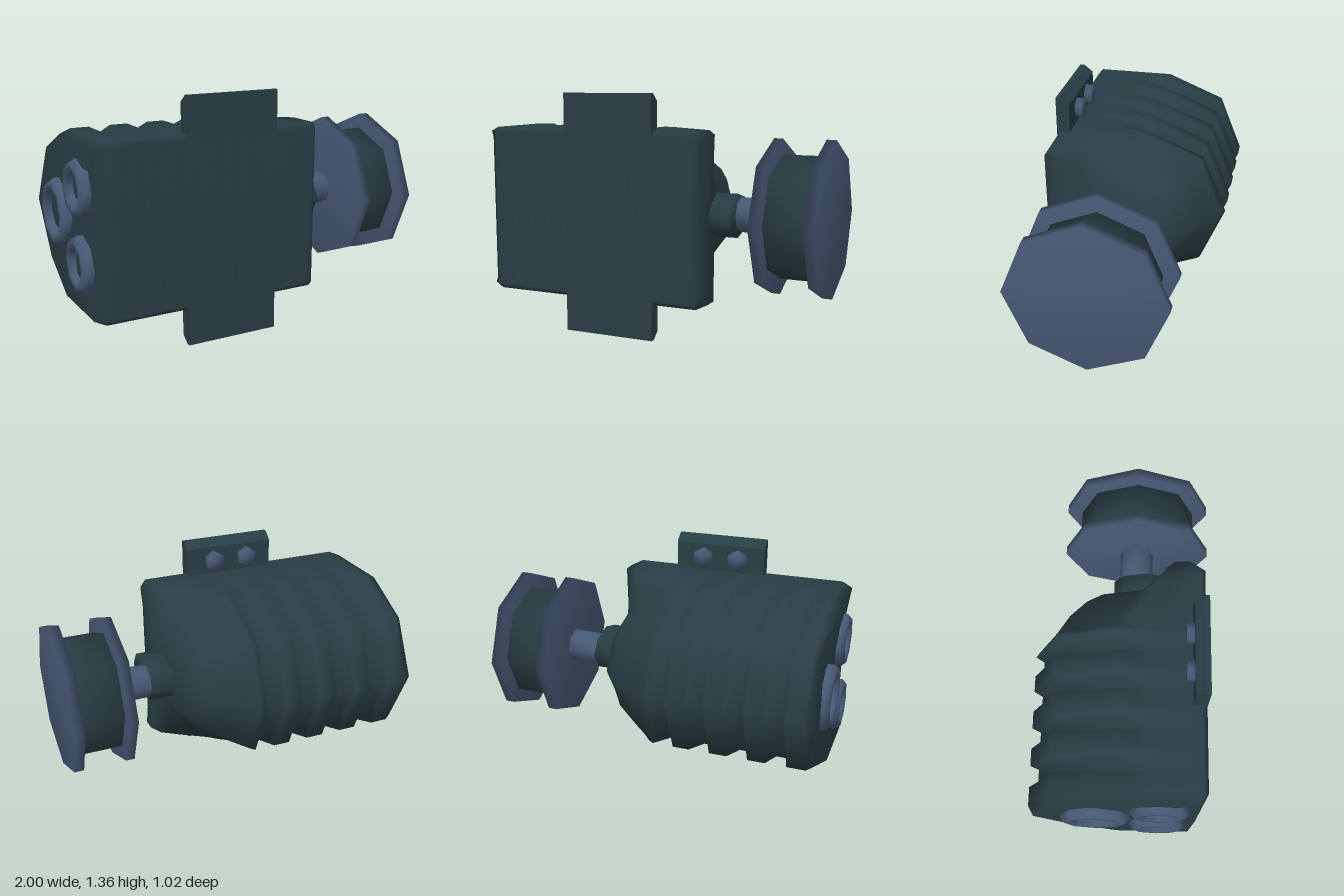
import * as THREE from 'three';
import { mergeVertices } from 'three/addons/utils/BufferGeometryUtils.js';

const CY = 0.68; // height of the horizontal symmetry plane
const SHAFT_Z = 0.075;

// Weld the corners so that normals run smoothly over every edge
function smooth(geo) {
  geo.deleteAttribute('normal');
  geo.deleteAttribute('uv');
  const g = mergeVertices(geo, 1e-4);
  g.computeVertexNormals();
  return g;
}

// Round part lying along x
function xCylinder(r, x0, x1, sides = 8) {
  const g = new THREE.CylinderGeometry(r, r, x1 - x0, sides);
  g.rotateZ(-Math.PI / 2);
  g.translate((x0 + x1) / 2, 0, 0);
  return smooth(g);
}

// Half cross-sections as [z, height above the symmetry plane], front to back
const rib = [[0.455, 0.45], [0.43, 0.48], [0.15, 0.48], [-0.02, 0.48], [-0.37, 0.34], [-0.51, 0]];
const groove = [[0.455, 0.45], [0.43, 0.48], [0.15, 0.48], [-0.02, 0.43], [-0.335, 0.305], [-0.46, 0]];
const plate = [[0.455, 0.45], [0.43, 0.48]];

function housingGeometry() {
  const sections = [];
  const add = (x, pts) => sections.push(pts.map(([z, h], i) => [Array.isArray(x) ? x[i] : x, h, z]));

  // Closed end with flared upper and lower lips
  add([-0.945, -0.97, -0.97, -0.97, -0.945, -0.965],
    [[0.43, 0.42], [0.41, 0.455], [0.15, 0.455], [-0.02, 0.455], [-0.35, 0.325], [-0.48, 0]]);
  add(-0.91, rib);
  // Cooling ribs
  for (const [a, b] of [[-0.8, -0.69], [-0.58, -0.47], [-0.36, -0.25], [-0.145, -0.035]]) {
    add(a - 0.005, rib);
    add(a + 0.005, groove);
    add(b - 0.005, groove);
    add(b + 0.005, rib);
  }
  // Dome narrowing to the shaft, with the mounting plate running on in front
  add(0, [...plate, [0.06, 0.48], [-0.02, 0.47], [-0.36, 0.33], [-0.49, 0]]);
  add(0.03, [...plate, [0.02, 0.48], [-0.04, 0.44], [-0.34, 0.31], [-0.455, 0]]);
  add(0.1, [...plate, [0.08, 0.48], [-0.01, 0.41], [-0.3, 0.28], [-0.41, 0]]);
  add(0.24, [...plate, [0.17, 0.48], [0.06, 0.32], [-0.21, 0.22], [-0.32, 0]]);
  add(0.31, [...plate, [0.22, 0.48], [0.11, 0.24], [-0.12, 0.17], [-0.23, 0]]);
  add(0.34, [...plate, [0.24, 0.48], [0.16, 0.16], [0.02, 0.11], [-0.05, 0]]);
  add([0.365, 0.39, 0.39, 0.365, 0.36, 0.36],
    [[0.42, 0.42], [0.37, 0.46], [0.29, 0.46], [0.25, 0.14], [0.2, 0.08], [0.18, 0]]);

  const pos = [], idx = [], n = 11;
  for (const half of sections) {
    const lower = half.slice(0, 5).reverse().map(([x, h, z]) => [x, -h, z]);
    for (const [x, h, z] of [...half, ...lower]) pos.push(x, CY + h, z);
  }
  for (let s = 0; s < sections.length - 1; s++) {
    for (let j = 0; j < n; j++) {
      const k = (j + 1) % n;
      const a = s * n + j, b = (s + 1) * n + j, c = (s + 1) * n + k, d = s * n + k;
      idx.push(a, b, c, a, c, d);
    }
  }
  // End caps
  const last = (sections.length - 1) * n, c0 = pos.length / 3;
  pos.push(-0.945, CY, 0.03, 0.365, CY, 0.32);
  for (let j = 0; j < n; j++) {
    const k = (j + 1) % n;
    idx.push(c0, j, k, c0 + 1, last + k, last + j);
  }
  const g = new THREE.BufferGeometry();
  g.setAttribute('position', new THREE.Float32BufferAttribute(pos, 3));
  g.setIndex(idx);
  g.computeVertexNormals();
  return g;
}

// Mounting tab with a chamfered rear edge; side is 1 above, -1 below
function tabGeometry(side) {
  const profile = [[0.455, 0.68], [0.43, 0.68], [0.38, 0.64], [0.38, 0.44], [0.455, 0.44]];
  const shape = new THREE.Shape(profile.map(([z, h]) => new THREE.Vector2(-z, CY + side * h)));
  const g = new THREE.ExtrudeGeometry(shape, { depth: 0.54, bevelEnabled: false });
  g.rotateY(Math.PI / 2);
  g.translate(-0.45, 0, 0);
  return g;
}

// Hollow socket ring opening towards -x
function ringGeometry(r) {
  const p = [[r, 0.93], [r, 0.975], [r - 0.025, 1], [r - 0.055, 1], [r - 0.065, 0.98], [r - 0.065, 0.93]];
  const g = new THREE.LatheGeometry(p.map(([a, b]) => new THREE.Vector2(a, b)), 8);
  g.rotateZ(Math.PI / 2);
  return smooth(g);
}

export function createModel() {
  const model = new THREE.Group();
  const dark = new THREE.MeshStandardMaterial({ color: 0x283e45 });
  dark.name = 'dark teal';
  const steel = new THREE.MeshStandardMaterial({ color: 0x465975 });
  steel.name = 'steel blue';

  function part(name, geo, mat, x = 0, y = 0, z = 0) {
    const m = new THREE.Mesh(geo, mat);
    m.name = name;
    m.position.set(x, y, z);
    model.add(m);
    return m;
  }

  part('housing', housingGeometry(), dark);

  // Tabs and their bolts
  for (const side of [1, -1]) {
    part(side > 0 ? 'upperTab' : 'lowerTab', tabGeometry(side), dark);
    for (const x of [-0.29, -0.08]) {
      const bolt = new THREE.CylinderGeometry(0.06, 0.06, 0.06, 6);
      bolt.rotateX(-Math.PI / 2);
      part('bolt', smooth(bolt), steel, x, CY + side * 0.56, 0.37);
    }
  }

  // Socket rings on the closed end
  part('largeSocketRing', ringGeometry(0.195), steel, 0, CY, -0.135);
  for (const side of [1, -1]) {
    part('smallSocketRing', ringGeometry(0.16), steel, 0, CY + side * 0.205, 0.215);
  }

  // Shaft, collar and pulley
  const collar = part('collar', xCylinder(0.125, 0.3, 0.47), dark, 0, CY, 0.13);
  collar.scale.z = 1.5;
  part('shaft', xCylinder(0.1, 0.44, 0.68), steel, 0, CY, SHAFT_Z);
  part('innerFlange', xCylinder(0.435, 0.655, 0.705), steel, 0, CY, SHAFT_Z);
  part('drum', xCylinder(0.347, 0.7, 0.95), dark, 0, CY, SHAFT_Z);
  part('outerFlange', xCylinder(0.435, 0.945, 1), steel, 0, CY, SHAFT_Z);

  return model;
}
